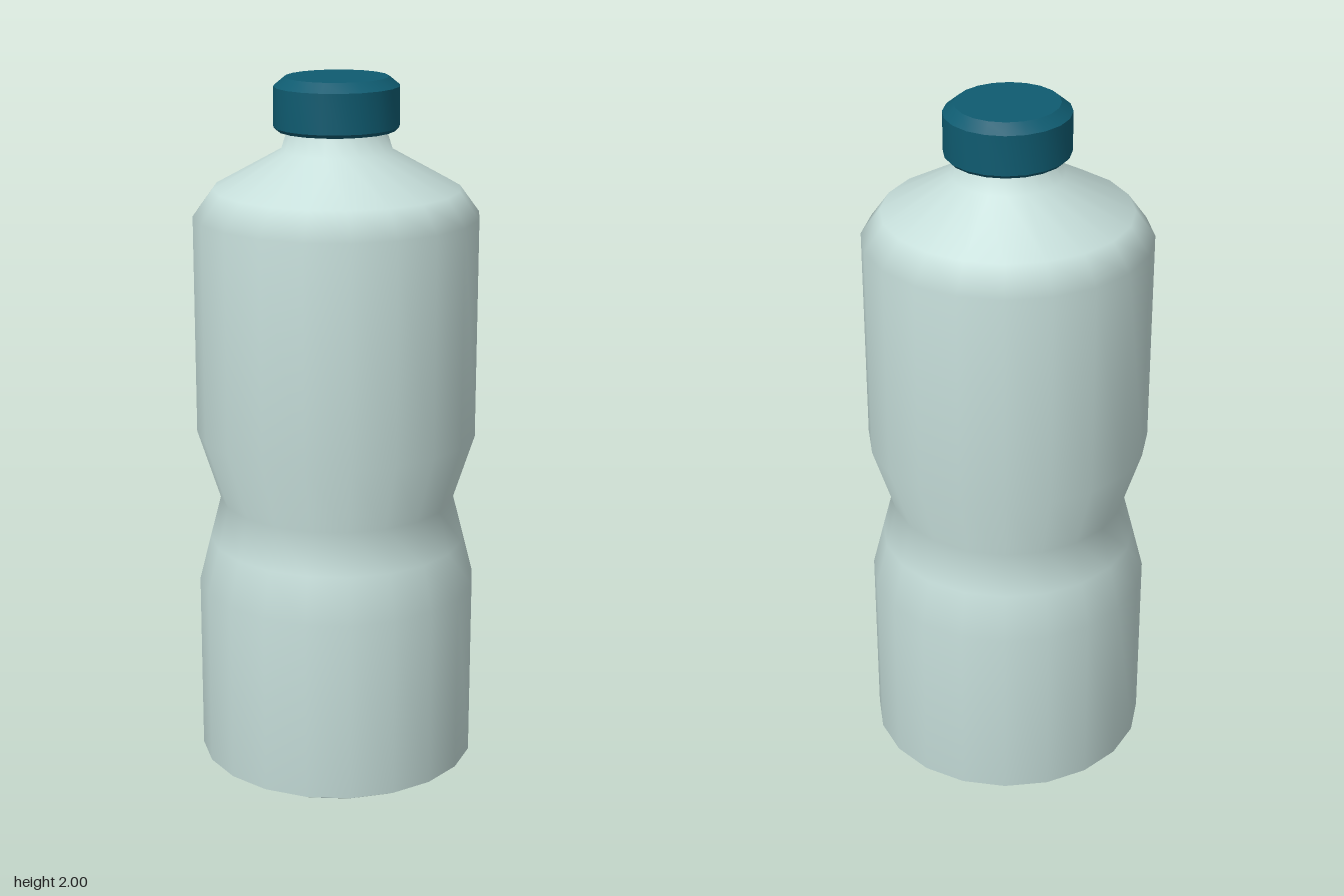
import * as THREE from 'three';
import { toCreasedNormals } from 'three/addons/utils/BufferGeometryUtils.js';

const SIDES = 20;
const lathe = (profile) =>
  new THREE.LatheGeometry(profile.map(([r, y]) => new THREE.Vector2(r, y)), SIDES);

export function createModel() {
  const model = new THREE.Group();
  const plastic = new THREE.MeshStandardMaterial({ color: 0xc6deda });
  const capPaint = new THREE.MeshStandardMaterial({ color: 0x0f5b70 });

  const add = (name, geometry, material) => {
    const mesh = new THREE.Mesh(geometry, material);
    mesh.name = name;
    model.add(mesh);
    return mesh;
  };

  // Smooth bottle wall: base bevel, pinched waist, shoulder and neck
  add('bottleBody', lathe([
    [0.355, 0], [0.4, 0.025], [0.4, 0.55], [0.367, 0.68], [0.336, 0.8],
    [0.4, 1.0], [0.4, 1.62], [0.345, 1.695], [0.155, 1.8], [0.132, 1.87],
  ]), plastic);

  // Flat base
  add('bottleBase', lathe([[0, 0], [0.355, 0]]), plastic);

  // Screw cap with crisp bevels, slightly narrower across x
  const cap = add('cap', toCreasedNormals(lathe([
    [0, 1.855], [0.17, 1.855], [0.18, 1.865], [0.18, 1.975], [0.148, 2], [0, 2],
  ]), 0.6), capPaint);
  cap.scale.x = 0.955;

  return model;
}
